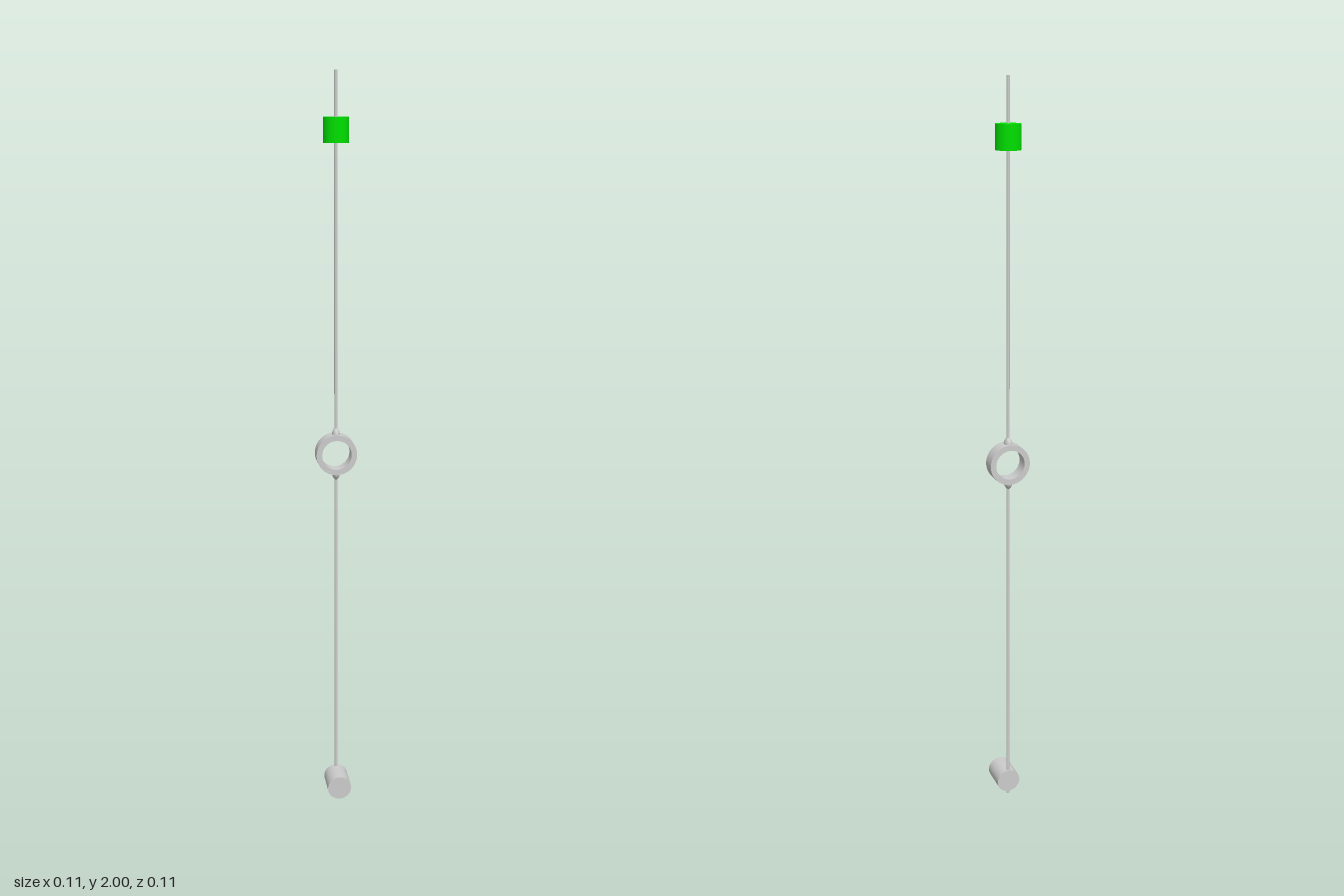
import * as THREE from 'three';

const AXIS_Z = -0.02; // depth of the rod line
const RING_Y = 1.003;

export function createModel() {
  const model = new THREE.Group();
  const grey = new THREE.MeshStandardMaterial({ color: 0xcccccc });
  const green = new THREE.MeshStandardMaterial({ color: 0x00e000 });

  const add = (name, geometry, material, y, z = AXIS_Z) => {
    const mesh = new THREE.Mesh(geometry, material);
    mesh.name = name;
    mesh.position.set(0, y, z);
    model.add(mesh);
    return mesh;
  };

  // Thin rods below and above the ring
  const rod = (name, y0, y1) =>
    add(name, new THREE.CylinderGeometry(0.0045, 0.0045, y1 - y0, 16), grey, (y0 + y1) / 2);
  rod('lowerRod', 0, RING_Y - 0.05);
  rod('upperRod', RING_Y + 0.05, 2);

  // Flat-sided ring in the middle
  const outline = new THREE.Shape().absarc(0, 0, 0.055, 0, Math.PI * 2);
  outline.holes.push(new THREE.Path().absarc(0, 0, 0.04, 0, Math.PI * 2, true));
  const ring = new THREE.ExtrudeGeometry(outline, { depth: 0.04, bevelEnabled: false, curveSegments: 32 });
  ring.translate(0, 0, -0.02);
  add('ring', ring, grey, RING_Y);

  // Rounded lugs joining the ring to the rods
  for (const [name, side] of [['upperLug', 1], ['lowerLug', -1]]) {
    const half = new THREE.SphereGeometry(1, 24, 10, 0, Math.PI * 2, 0, Math.PI / 2);
    half.scale(0.011, 0.022, 0.017);
    if (side < 0) half.rotateX(Math.PI);
    add(name, half, grey, RING_Y + side * 0.05);
  }

  // Coloured sliding weight near the top
  add('slidingWeight', new THREE.CylinderGeometry(0.033, 0.033, 0.064, 40), green, 1.853);

  // Horizontal weight at the foot, reaching forward
  const foot = new THREE.CylinderGeometry(0.033, 0.033, 0.08, 40);
  foot.rotateX(Math.PI / 2);
  add('footWeight', foot, grey, 0.042, 0.013);

  return model;
}
